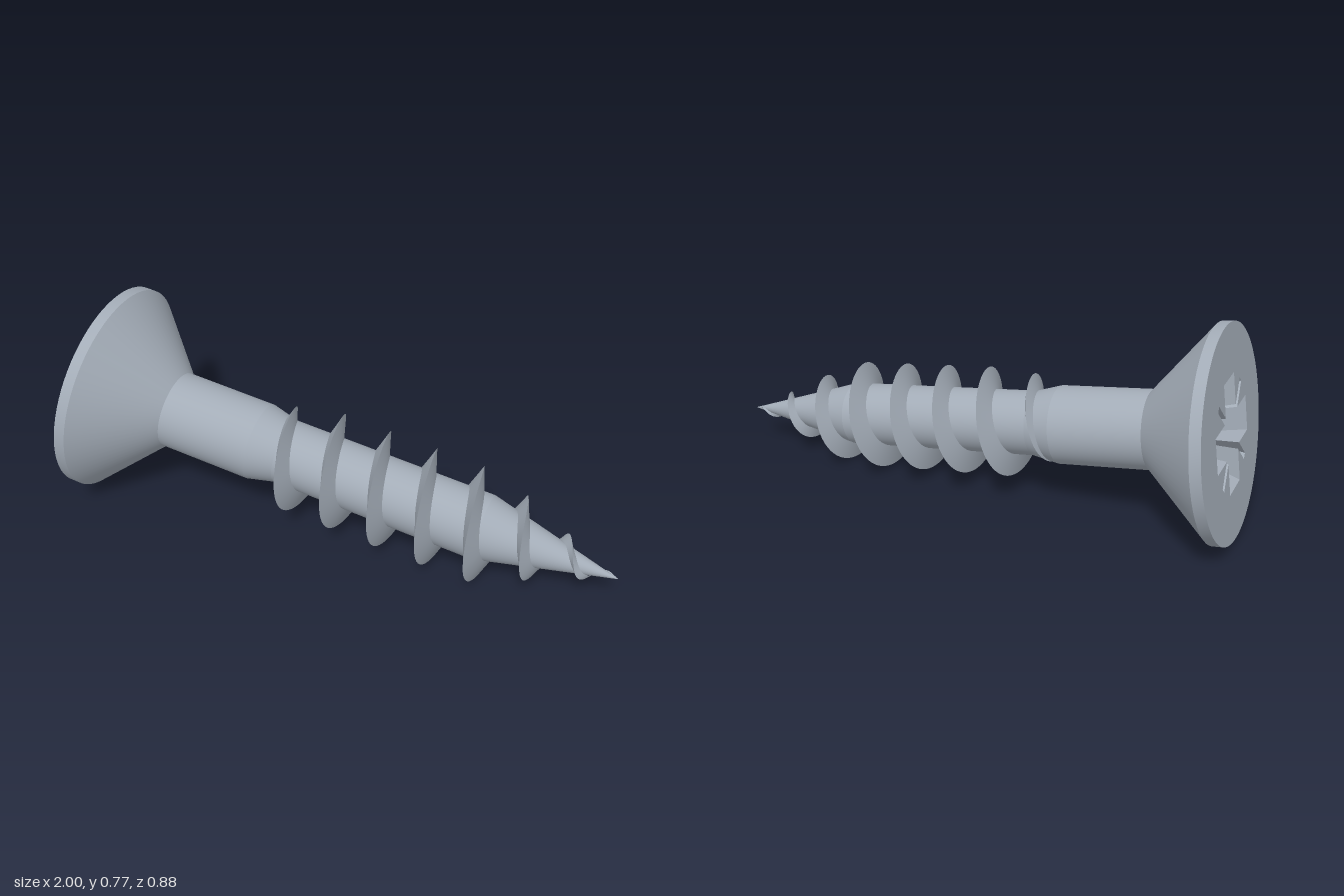
import * as THREE from 'three';
import { toCreasedNormals } from 'three/addons/utils/BufferGeometryUtils.js';

const HEAD_R = 0.383, SHANK_R = 0.142, CORE_R = 0.118, CREST_R = 0.2;
const LENGTH = 1.962, TAPER = 1.48, PITCH = 0.1765;
const { lerp, clamp, smoothstep } = THREE.MathUtils;

// Lathe around the screw axis (local y) from [radius, distance] pairs
function turned(points) {
  const profile = points.map(([r, y]) => new THREE.Vector2(r, y));
  return toCreasedNormals(new THREE.LatheGeometry(profile, 72), 0.2);
}

// Grid of quads between successive rows of points
function loft(rows) {
  const n = rows[0].length, index = [];
  for (let i = 0; i < rows.length - 1; i++) {
    for (let j = 0; j < n - 1; j++) {
      const a = i * n + j, b = a + n;
      index.push(a, a + 1, b, a + 1, b + 1, b);
    }
  }
  const geometry = new THREE.BufferGeometry().setFromPoints(rows.flat());
  geometry.setIndex(index);
  geometry.computeVertexNormals();
  return geometry;
}

// Cross outline with a narrow diagonal notch in each inner corner
function crossOutline(length, half, notchHalf, notchReach) {
  const k = notchHalf * Math.SQRT2, s = Math.SQRT1_2;
  const quarter = [
    [length, -half], [length, half], [half + k, half],
    [(notchReach + notchHalf) * s, (notchReach - notchHalf) * s],
    [(notchReach - notchHalf) * s, (notchReach + notchHalf) * s],
    [half, half + k],
  ];
  const points = [];
  for (let q = 0; q < 4; q++) {
    for (const [x, y] of quarter) {
      points.push(new THREE.Vector2(x, y).rotateAround(new THREE.Vector2(), q * Math.PI / 2));
    }
  }
  return points;
}

const coreRadius = t => CORE_R * clamp((LENGTH - t) / (LENGTH - TAPER), 0.01, 1);

function crestRadius(t) {
  const grown = lerp(0.125, CREST_R, smoothstep(t, 0.6, 0.8));
  return grown * clamp((LENGTH - t) / (LENGTH - TAPER), 0.02, 1);
}

// Right-handed sharp thread: one strip for each flank
function threadFlanks() {
  const start = 0.61, end = 1.95, steps = 720;
  const root = [], crest = [], tail = [];
  for (let i = 0; i <= steps; i++) {
    const t = lerp(start, end, i / steps);
    const angle = (t - 1.076) / PITCH * Math.PI * 2;
    const at = (r, y) => new THREE.Vector3(-r * Math.cos(angle), y, r * Math.sin(angle));
    const inner = coreRadius(t) * 0.93, outer = crestRadius(t);
    const half = 0.008 + 0.022 * clamp((outer - inner) / 0.085, 0, 1);
    root.push(at(inner, t - half));
    crest.push(at(outer, t));
    tail.push(at(inner, t + half));
  }
  return [loft([root, crest]), loft([crest, tail])];
}

export function createModel() {
  const model = new THREE.Group();
  model.name = 'woodScrew';
  const steel = new THREE.MeshStandardMaterial({ color: 0xa3acb7 });
  steel.name = 'steel';

  const screw = new THREE.Group();
  screw.name = 'screw';
  model.add(screw);
  const add = (name, geometry) => {
    const mesh = new THREE.Mesh(geometry, steel);
    mesh.name = name;
    screw.add(mesh);
  };

  // Countersunk head, plain shank, threaded core and point
  add('head', turned([[HEAD_R, 0], [HEAD_R, 0.04], [SHANK_R, 0.276]]));
  add('shank', turned([[SHANK_R, 0.276], [SHANK_R, 0.62], [CORE_R, 0.72]]));
  add('core', turned([[CORE_R, 0.72], [CORE_R, TAPER], [0.001, LENGTH]]));
  threadFlanks().forEach((flank, i) => add(i ? 'threadFrontFlank' : 'threadRearFlank', flank));

  // Flat head face, pierced by the driver recess
  const rim = crossOutline(0.2, 0.066, 0.012, 0.205);
  const face = new THREE.Shape().absarc(0, 0, HEAD_R, 0, Math.PI * 2);
  face.holes.push(new THREE.Path(rim));
  add('headFace', new THREE.ShapeGeometry(face, 72).rotateX(Math.PI / 2));

  // Recess walls narrowing to a shallow pointed floor
  const floor = crossOutline(0.11, 0.048, 0.006, 0.075);
  const ring = (outline, y) => [...outline, outline[0]].map(p => new THREE.Vector3(p.x, y, p.y));
  const centre = floor.map(() => new THREE.Vector2());
  const recess = loft([ring(rim, 0), ring(floor, 0.17), ring(centre, 0.2)]).toNonIndexed();
  recess.computeVertexNormals();
  add('driverRecess', recess);

  // Lay the screw down, resting on its head rim and thread
  const head = new THREE.Vector3(-0.905, 0.388, -0.065);
  const axis = new THREE.Vector3(0.995, 0.12, 0.342).sub(head).normalize();
  const front = new THREE.Vector3().crossVectors(axis, new THREE.Vector3(0, 1, 0)).normalize();
  const down = new THREE.Vector3().crossVectors(axis, front);
  screw.quaternion.setFromRotationMatrix(new THREE.Matrix4().makeBasis(down, axis, front));
  screw.position.copy(head);
  return model;
}
